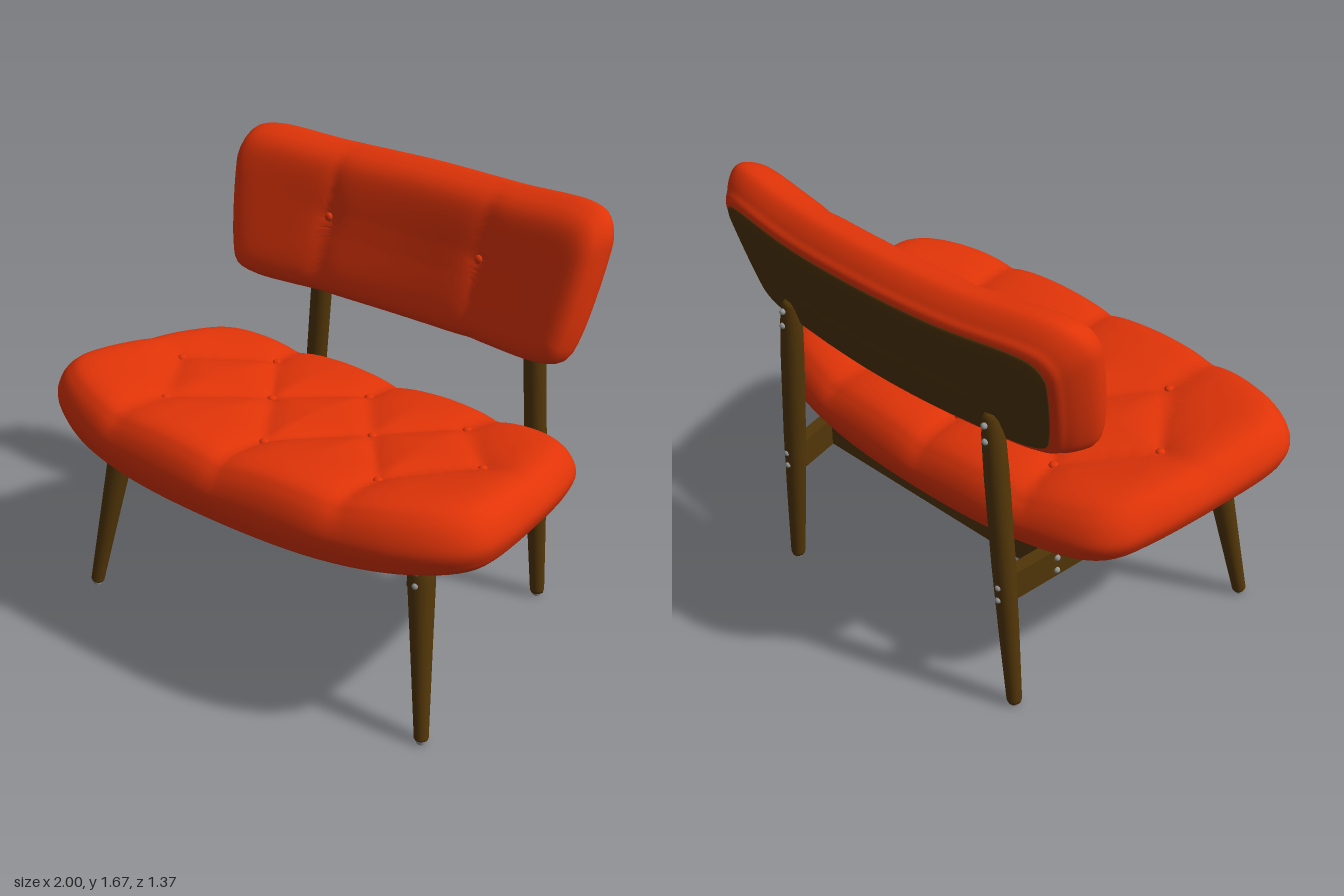
import * as THREE from 'three';

const mat = (name, color) => {
  const m = new THREE.MeshStandardMaterial({ color });
  m.name = name;
  return m;
};

// Closed, padded shape: a mirrored half outline swept through a (scale, height) profile.
function padded(half, centre, power, profile, place, rings = 64, segs = 160) {
  const pts = [...half, ...half.slice(1, -1).reverse().map(([x, v]) => [-x, v])];
  const outline = new THREE.CatmullRomCurve3(
    pts.map(([x, v]) => new THREE.Vector3(x, v, 0)), true).getSpacedPoints(segs);
  const section = new THREE.CatmullRomCurve3(
    profile.map(([s, f]) => new THREE.Vector3(s, f, 0))).getSpacedPoints(rings);
  const pos = [], index = [];
  section.forEach(({ x: s, y: f }, i) => {
    const k = Math.max(s, 0);
    for (let j = 0; j < segs; j++) {
      const p = outline[j];
      pos.push(...place(p.x * k, centre + (p.y - centre) * Math.pow(k, power), f));
      if (i < rings) {
        const a = i * segs + j, b = i * segs + (j + 1) % segs;
        index.push(a, b, b + segs, a, b + segs, a + segs);
      }
    }
  });
  const g = new THREE.BufferGeometry();
  g.setAttribute('position', new THREE.Float32BufferAttribute(pos, 3));
  g.setIndex(index);
  g.computeVertexNormals();
  return g;
}

const segDist = (x, z, [ax, az, bx, bz]) => {
  const dx = bx - ax, dz = bz - az;
  const t = THREE.MathUtils.clamp(((x - ax) * dx + (z - az) * dz) / (dx * dx + dz * dz), 0, 1);
  return Math.hypot(x - ax - t * dx, z - az - t * dz);
};

// Seat shape: half outline (x, z), tuft buttons and seams for the +x half
const SEAT = [[0, 0.685], [0.5, 0.667], [0.76, 0.612], [0.92, 0.53], [0.985, 0.45], [1, 0.35],
  [0.965, 0.04], [0.91, -0.2], [0.86, -0.32], [0.78, -0.385], [0.5, -0.445], [0, -0.465]];
const TUFTS = [[0, -0.215], [0.46, -0.21], [0.24, 0.07], [0.715, 0.06], [0, 0.385], [0.5, 0.37]];
const SEAMS = [[0, -0.215, 0.24, 0.07], [0.46, -0.21, 0.24, 0.07], [0.46, -0.21, 0.715, 0.06],
  [0.24, 0.07, 0, 0.385], [0.24, 0.07, 0.5, 0.37], [0.715, 0.06, 0.5, 0.37],
  [0.715, 0.06, 1, 0.035], [0.5, 0.37, 0.52, 0.7], [0, 0.385, 0, 0.7],
  [0, -0.215, 0, -0.47], [0.46, -0.21, 0.5, -0.47]];

function seatPoint(x, z, f) {
  const ax = Math.abs(x);
  const bottom = 0.62 + 0.075 * z - 0.1 * z * z + 0.075 * x * x;
  const top = 0.862 + 0.09 * z + 0.06 * x * x;
  const seam = Math.min(...SEAMS.map(s => segDist(ax, z, s)));
  const tuft = Math.min(...TUFTS.map(([tx, tz]) => Math.hypot(ax - tx, z - tz)));
  const fade = 1 - 0.7 * THREE.MathUtils.smoothstep(ax, 0.7, 0.88);
  const dip = fade * (0.035 * Math.exp(-seam / 0.09) + 0.012 * Math.exp(-tuft / 0.035));
  return [x, bottom + f * (top - bottom) - dip * THREE.MathUtils.smoothstep(f, 0.3, 1), z];
}

// Backrest shape: half outline (x, y), wrapped forward at the sides and leaning back
const BACK = [[0, 1.085], [0.4, 1.09], [0.68, 1.1], [0.76, 1.13], [0.79, 1.2], [0.835, 1.5],
  [0.835, 1.585], [0.8, 1.645], [0.73, 1.665], [0.4, 1.65], [0, 1.65]];

function backPoint(x, y, f) {
  const seam = Math.abs(Math.abs(x) - 0.35), button = Math.hypot(seam, y - 1.395);
  const dip = 0.014 * Math.exp(-seam / 0.04) + 0.012 * Math.exp(-button / 0.04);
  const drop = 0.03 * (1 - THREE.MathUtils.smoothstep(f, 0, 0.5));
  const z = -0.64 + 0.125 * x * x - 0.29 * (y - drop - 1.38) + f * 0.248;
  return [x, y - drop, z - dip * THREE.MathUtils.smoothstep(f, 0.3, 1)];
}

export function createModel() {
  const group = new THREE.Group();
  const red = mat('red upholstery', 0xe13408);
  const wood = mat('brown wood', 0x523608);
  const metal = mat('grey metal', 0x959595);

  const add = (name, geometry, material, p = [0, 0, 0]) => {
    const m = new THREE.Mesh(geometry, material);
    m.name = name;
    m.position.set(...p);
    group.add(m);
    return m;
  };

  // Seat
  add('seatCushion', padded(SEAT, 0.11, 1.7, [[0.5, 0.03], [0.92, 0.03], [0.965, 0.09], [0.99, 0.24],
    [1, 0.42], [0.985, 0.64], [0.955, 0.82], [0.915, 0.94], [0.86, 0.99], [0.78, 1], [0.4, 1], [0, 1]],
  seatPoint, 80), red);
  add('seatShell', padded(SEAT, 0.11, 2.4, [[0, -0.01], [0.45, -0.01], [0.88, -0.01], [0.935, 0.005],
    [0.953, 0.05], [0.92, 0.09], [0.6, 0.09]], seatPoint), wood);
  const plate = add('underPlate', new THREE.BoxGeometry(0.75, 0.008, 0.32), metal, [0, 0.614, 0]);
  plate.rotation.x = -0.075;

  // Backrest
  add('backCushion', padded(BACK, 1.375, 3, [[0.5, 0.03], [0.905, 0.03], [0.955, 0.17], [0.99, 0.38],
    [1, 0.55], [0.987, 0.74], [0.96, 0.89], [0.92, 0.97], [0.86, 1], [0.5, 1], [0, 1]],
  backPoint, 72), red);
  add('backPanel', padded(BACK, 1.375, 3, [[0, 0], [0.45, 0], [0.88, 0], [0.903, 0.015],
    [0.905, 0.05], [0.88, 0.08], [0.6, 0.08]], backPoint), wood);

  // Upholstery buttons
  const buttonShape = new THREE.SphereGeometry(0.018, 16, 10);
  for (const [x, z] of TUFTS)
    for (const s of x ? [1, -1] : [1]) {
      const p = seatPoint(x * s, z, 1);
      p[1] += 0.006;
      add('seatButton', buttonShape, red, p).scale.y = 0.7;
    }
  for (const s of [1, -1]) {
    const p = backPoint(0.35 * s, 1.395, 1);
    p[2] += 0.006;
    add('backButton', buttonShape, red, p).scale.z = 0.7;
  }

  // Tapered leg from a to b with a profile of [fraction, radius]
  const leg = (name, a, b, profile) => {
    const A = new THREE.Vector3(...a), dir = new THREE.Vector3(...b).sub(A), len = dir.length();
    const pts = profile.map(([t, r]) => new THREE.Vector2(r, t * len));
    const m = add(name, new THREE.LatheGeometry(pts, 24), wood, a);
    m.quaternion.setFromUnitVectors(new THREE.Vector3(0, 1, 0), dir.normalize());
    add('footGlide', new THREE.CylinderGeometry(0.019, 0.017, 0.016, 16), metal, [a[0], 0.008, a[2]]);
  };

  // Rectangular rail from a to b
  const rail = (name, a, b, height, thick) => {
    const A = new THREE.Vector3(...a), B = new THREE.Vector3(...b);
    const m = add(name, new THREE.BoxGeometry(thick, height, A.distanceTo(B)), wood);
    m.position.copy(A).add(B).multiplyScalar(0.5);
    m.lookAt(B);
  };

  const screwShape = new THREE.SphereGeometry(0.012, 12, 8);
  const screw = p => add('screw', screwShape, metal, p);

  for (const s of [1, -1]) {
    leg('frontLeg', [0.805 * s, 0.012, 0.5], [0.705 * s, 0.68, 0.39],
      [[0, 0], [0, 0.022], [0.01, 0.026], [0.5, 0.039], [0.85, 0.049], [1, 0.049], [1, 0]]);
    leg('rearLeg', [0.595 * s, 0.012, -0.544], [0.497 * s, 1.235, -0.555],
      [[0, 0], [0, 0.024], [0.01, 0.028], [0.25, 0.036], [0.5, 0.042], [0.8, 0.043],
        [0.93, 0.04], [0.985, 0.033], [1, 0.022], [1, 0]]);
    rail('sideRail', [0.69 * s, 0.598, 0.41], [0.55 * s, 0.522, -0.53], 0.117, 0.05);

    // Screws on the legs and the rail ends
    for (const y of [0.58, 0.63]) screw([0.727 * s, y, 0.452 - (y - 0.58) * 0.12]);
    for (const y of [0.49, 0.545]) screw([0.555 * s, y, -0.586]);
    for (const y of [1.14, 1.2]) screw([(0.505 - (y - 1.14) * 0.08) * s, y, -0.594]);
    for (const dy of [0, 0.055]) {
      screw([0.697 * s, 0.555 + dy, 0.28]);
      screw([0.604 * s, 0.505 + dy, -0.342]);
    }
  }

  // Cross rails
  rail('frontRail', [-0.66, 0.585, 0.28], [0.66, 0.585, 0.28], 0.1, 0.05);
  rail('rearRail', [-0.57, 0.528, -0.342], [0.57, 0.528, -0.342], 0.1, 0.05);

  return group;
}
